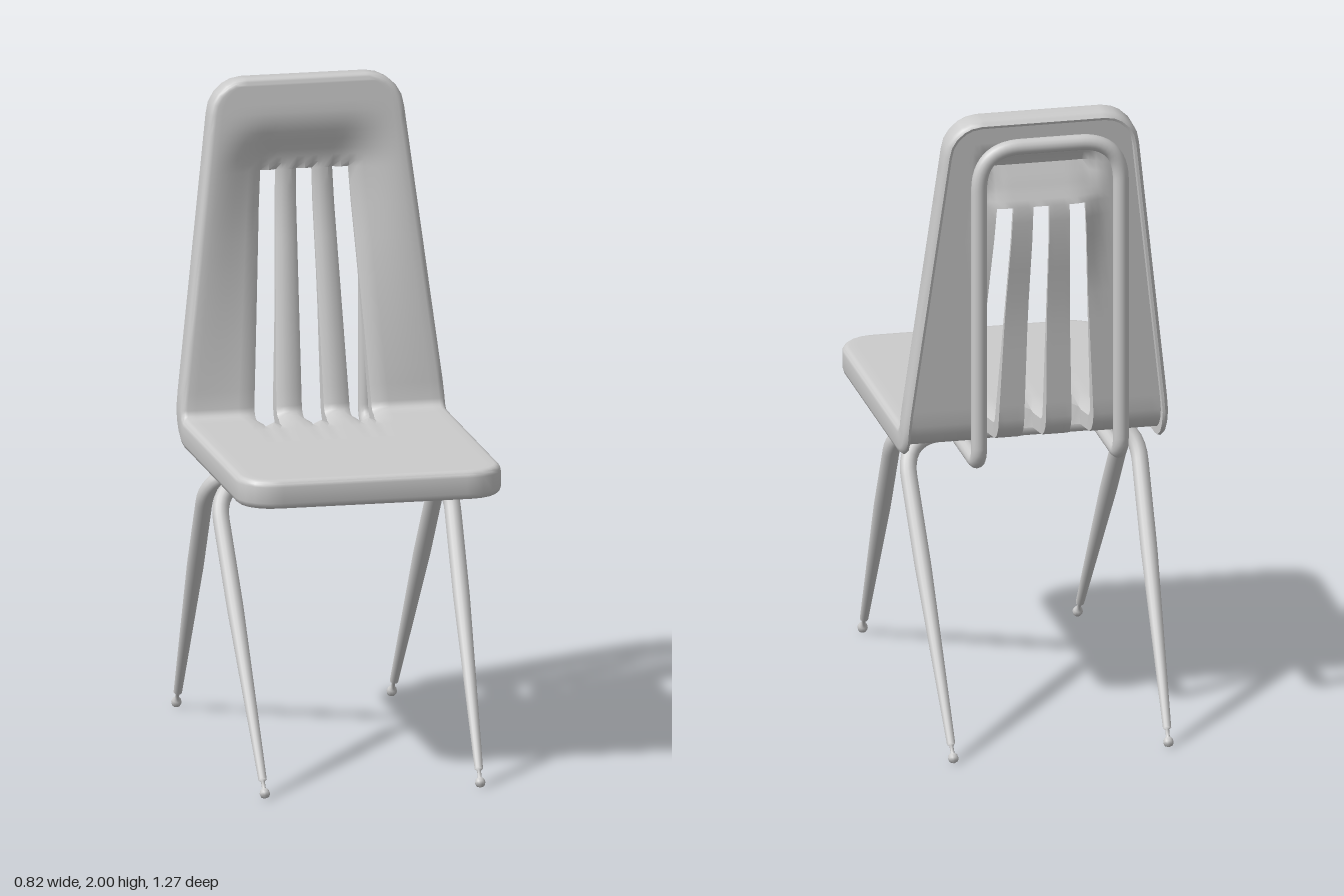
import * as THREE from 'three';
import { toCreasedNormals } from 'three/addons/utils/BufferGeometryUtils.js';

const material = new THREE.MeshStandardMaterial({ color: 0xcccccc, side: THREE.DoubleSide });
const { lerp, smoothstep, clamp } = THREE.MathUtils;
const V = (x, y, z) => new THREE.Vector3(x, y, z);
const CENTRE = -0.02; // the steel frame sits slightly off centre
const LEAN = 0.088;
const SLOT_FRONT = -0.19;
const SLOT_TOP = 1.71;
const SHELL = 0.06; // thickness inside the rim

function add(parent, name, geometry) {
  const mesh = new THREE.Mesh(geometry, material);
  mesh.name = name;
  parent.add(mesh);
  return mesh;
}

// Half width near a rounded end, at distance d from that end
function cornerWidth(w, radius, d) {
  if (d >= radius) return w;
  return w - radius + Math.sqrt(radius * radius - (radius - d) ** 2);
}

// Depth of the hollow in the front of the back, below the headrest
function dish(x, y, w) {
  const rise = clamp((y - 1) / 0.6, 0, 1) * (1 - smoothstep(y, SLOT_TOP, 1.89));
  return 0.06 * rise * (1 - smoothstep(Math.abs(x), 0.1, w));
}

// Depth of the rear face: thin in the arched pocket behind the headrest
function rearDepth(x, y, w) {
  const d = dish(x, y, w);
  const pocket = (1 - smoothstep(Math.abs(x), 0.14, 0.2))
    * smoothstep(y, SLOT_TOP, 1.75) * (1 - smoothstep(y, 1.83, 1.89));
  return lerp(Math.max(SHELL, d + 0.025), d + 0.012, pocket);
}

// Rows of the shell: along the seat, round the bend and up the back
function shellRows() {
  const rows = [];
  const seatZ = [0.55, 0.545, 0.53, 0.51, 0.485, 0.46, 0.3, 0.1, -0.1, SLOT_FRONT, -0.22];
  for (const z of seatZ) {
    rows.push({ y: 0.975, z, a: Math.PI / 2, w: cornerWidth(0.39, 0.09, 0.55 - z) });
  }
  for (let i = 0; i <= 4; i++) {
    const a = lerp(Math.PI / 2, LEAN, i / 4);
    rows.push({ y: 1.0 - 0.025 * Math.sin(a), z: -0.27 - 0.025 * Math.cos(a), a, w: 0.39 });
  }
  const backY = [1.05, 1.1, 1.2, 1.3, 1.4, 1.5, 1.6, 1.66, SLOT_TOP, 1.73, 1.75, 1.77, 1.8, 1.83, 1.86, 1.89, 1.92, 1.945, 1.965, 1.975, 1.98];
  for (const y of backY) {
    const w = lerp(0.39, 0.271, (y - 1.01) / 0.97);
    rows.push({ y, z: -0.295 - (y - 1) * LEAN, a: LEAN, w: cornerWidth(w, 0.08, 1.98 - y) });
  }
  for (const r of rows) {
    r.n = V(0, Math.sin(r.a), Math.cos(r.a));
    // Slots narrow towards the top of the back and on the seat
    const t = clamp((r.y - 1) / 0.71, 0, 1);
    const c = lerp(0.147, 0.112, t);
    const h = r.z > -0.23 ? 0.025 : lerp(0.034, 0.025, t);
    const stops = [-r.w, -c - h, -c + h, -h, h, c - h, c + h, r.w];
    const steps = [8, 2, 4, 2, 4, 2, 8];
    const xs = [-r.w];
    steps.forEach((k, j) => {
      for (let i = 1; i <= k; i++) xs.push(lerp(stops[j], stops[j + 1], i / k));
    });
    const slotted = r.z <= SLOT_FRONT && r.y <= SLOT_TOP;
    r.front = xs.map((x) => {
      // Ribs are rounded along the slots
      const gap = Math.min(...stops.slice(1, 7).map((e) => Math.abs(x - e)));
      const round = slotted ? 0.012 * (1 - Math.min(1, gap / 0.022)) ** 2 : 0;
      return V(x, r.y, r.z).addScaledVector(r.n, -dish(x, r.y, r.w) - round);
    });
    // The front end of each slot slopes backwards
    const slope = r.z === SLOT_FRONT ? 0.025 : 0;
    r.rear = xs.map((x) => V(x, r.y, r.z - slope).addScaledVector(r.n, -rearDepth(x, r.y, r.w)));
  }
  return rows;
}

function shellGeometry() {
  const rows = shellRows();
  const data = [];
  const quad = (a, b, c, d) => {
    for (const p of [a, b, c, a, c, d]) data.push(p.x, p.y, p.z);
  };
  const last = rows.length - 1;
  const cols = rows[0].front.length - 1;
  const first = rows.findIndex((r) => r.z === SLOT_FRONT);
  const end = rows.findIndex((r) => r.y === SLOT_TOP);
  const slots = [8, 14, 20]; // first column of each two-column slot

  // Front and rear faces, leaving out the slots
  for (let i = 0; i < last; i++) {
    for (let j = 0; j < cols; j++) {
      if (i >= first && i < end && slots.some((s) => j === s || j === s + 1)) continue;
      const { front: f, rear: b } = rows[i];
      const { front: f2, rear: b2 } = rows[i + 1];
      quad(f[j], f[j + 1], f2[j + 1], f2[j]);
      quad(b[j], b2[j], b2[j + 1], b[j + 1]);
    }
  }

  // Closed outline through a block of the grid
  const outline = (i0, i1, j0, j1) => {
    const loop = [];
    for (let j = j0; j < j1; j++) loop.push([i0, j]);
    for (let i = i0; i < i1; i++) loop.push([i, j1]);
    for (let j = j1; j > j0; j--) loop.push([i1, j]);
    for (let i = i1; i > i0; i--) loop.push([i, j0]);
    return loop.map(([i, j]) => ({ p: rows[i].front[j], q: rows[i].rear[j], n: rows[i].n }));
  };

  // Rounded rim: profile pairs are [outward, down]
  const rim = [[0, 0], [0.008, 0.0015], [0.014, 0.006], [0.0185, 0.012], [0.02, 0.02],
    [0.02, 0.07], [0.016, 0.082], [0.008, 0.088], [0, 0.086], [0, SHELL]];
  const edge = outline(0, last, 0, cols);
  const rings = edge.map(({ p, n }, k) => {
    const next = edge[(k + 1) % edge.length].p;
    const prev = edge[(k + edge.length - 1) % edge.length].p;
    const out = next.clone().sub(prev).cross(n).normalize();
    return rim.map(([o, d]) => p.clone().addScaledVector(out, o).addScaledVector(n, -d));
  });
  rings.forEach((a, k) => {
    const b = rings[(k + 1) % rings.length];
    for (let m = 0; m < rim.length - 1; m++) quad(a[m], a[m + 1], b[m + 1], b[m]);
  });

  // Slot walls
  for (const s of slots) {
    const loop = outline(first, end, s, s + 2);
    loop.forEach((a, k) => {
      const b = loop[(k + 1) % loop.length];
      quad(a.p, b.p, b.q, a.q);
    });
  }

  const geometry = new THREE.BufferGeometry();
  geometry.setAttribute('position', new THREE.Float32BufferAttribute(data, 3));
  return toCreasedNormals(geometry, 0.7);
}

// Polyline with rounded corners
function roundedPath(points, radii) {
  const path = new THREE.CurvePath();
  let from = points[0];
  for (let i = 1; i < points.length - 1; i++) {
    const p = points[i];
    const r = radii[i - 1];
    const a = p.clone().add(points[i - 1].clone().sub(p).setLength(r));
    const b = p.clone().add(points[i + 1].clone().sub(p).setLength(r));
    path.add(new THREE.LineCurve3(from, a));
    path.add(new THREE.QuadraticBezierCurve3(a, p, b));
    from = b;
  }
  path.add(new THREE.LineCurve3(from, points[points.length - 1]));
  return path;
}

// Tube whose radius follows a rule along its length
function taperedTube(path, segments, sides, radiusAt) {
  const geometry = new THREE.TubeGeometry(path, segments, 1, sides);
  const pos = geometry.attributes.position;
  const p = V(0, 0, 0);
  for (let k = 0; k < pos.count; k++) {
    const t = Math.floor(k / (sides + 1)) / segments;
    const c = path.getPointAt(t);
    p.fromBufferAttribute(pos, k).sub(c).multiplyScalar(radiusAt(t)).add(c);
    pos.setXYZ(k, p.x, p.y, p.z);
  }
  return geometry;
}

// One inverted U of legs with a ball foot at each end
function legPair(name, side) {
  const group = new THREE.Group();
  group.name = name;
  const foot = (s) => V(CENTRE + s * 0.335, 0.055, side * 0.592);
  const knee = (s) => V(CENTRE + s * 0.362, 0.86, side * 0.05);
  const path = roundedPath([foot(-1), knee(-1), knee(1), foot(1)], [0.13, 0.13]);
  add(group, 'legTube', taperedTube(path, 110, 14, (t) => lerp(0.013, 0.026, Math.min(1, Math.min(t, 1 - t) / 0.22))));
  const profile = [[0, 0], [0.013, 0], [0.006, 0.006], [0.006, 0.028], [0.013, 0.034], [0.016, 0.045], [0.013, 0.055], [0, 0.061]];
  for (const s of [-1, 1]) {
    const ball = add(group, 'foot', new THREE.LatheGeometry(profile.map(([x, y]) => new THREE.Vector2(x, y)), 14));
    ball.position.copy(foot(s));
    ball.quaternion.setFromUnitVectors(V(0, 1, 0), foot(s).sub(knee(s)).normalize());
  }
  return group;
}

export function createModel() {
  const chair = new THREE.Group();
  chair.name = 'chair';
  add(chair, 'seatAndBackShell', shellGeometry());

  // Bent tube under the seat and behind the back
  const at = (s, y, z) => V(CENTRE + s * 0.22, y, z);
  const path = roundedPath([
    at(-1, 0.897, 0.45), at(-1, 0.897, -0.468), at(-1, 1.908, -0.468),
    at(1, 1.908, -0.468), at(1, 0.897, -0.468), at(1, 0.897, 0.45),
  ], [0.06, 0.13, 0.13, 0.06]);
  add(chair, 'backFrame', new THREE.TubeGeometry(path, 240, 0.024, 14));
  for (const s of [-1, 1]) {
    add(chair, 'frameEnd', new THREE.CircleGeometry(0.024, 14)).position.copy(at(s, 0.897, 0.45));
  }

  chair.add(legPair('frontLegs', 1), legPair('rearLegs', -1));
  return chair;
}
